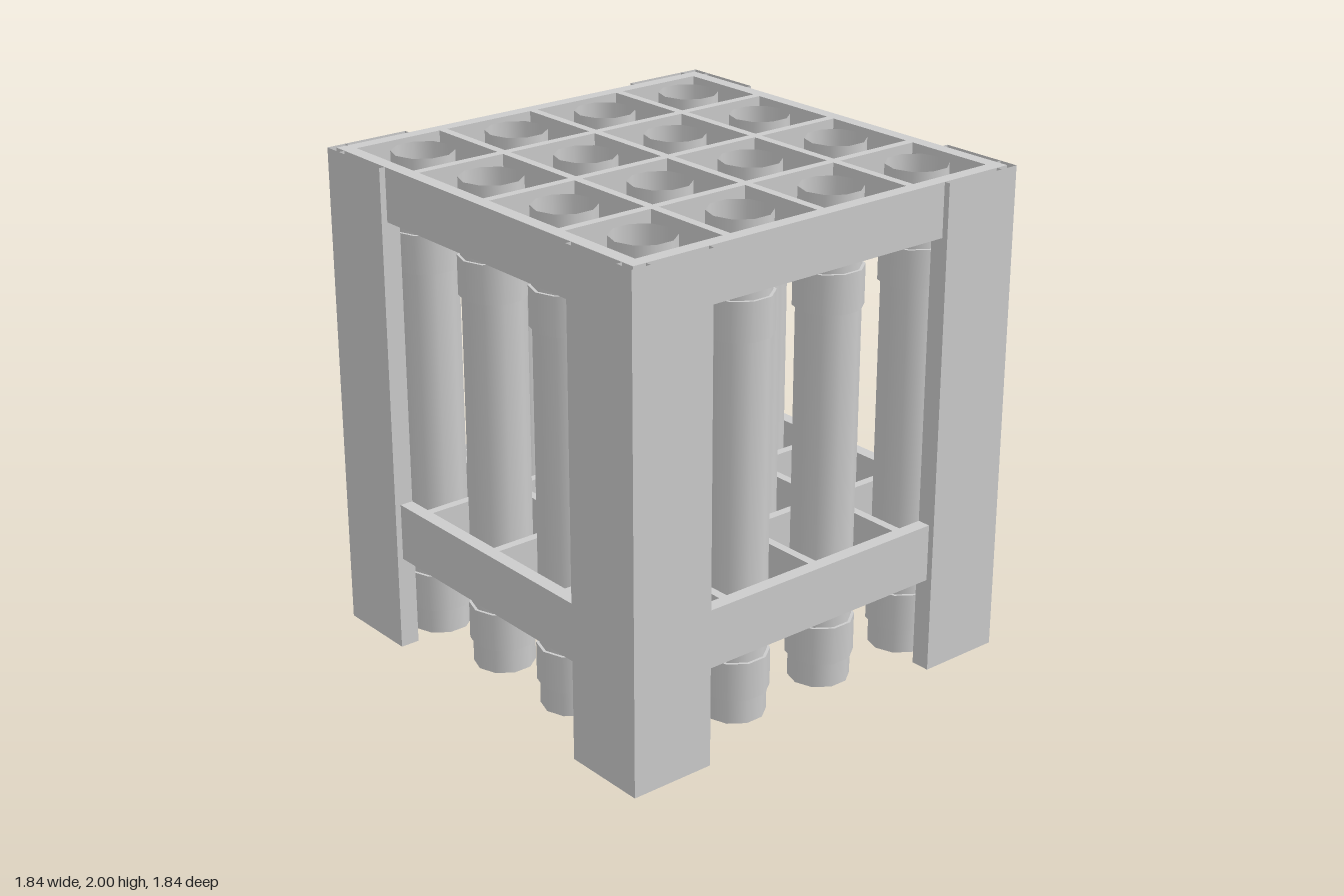
import * as THREE from 'three';

const steel = new THREE.MeshStandardMaterial({ color: 0xcccccc, side: THREE.DoubleSide });
steel.name = 'light grey steel';

function add(parent, name, geometry, x, y, z) {
  const mesh = new THREE.Mesh(geometry, steel);
  mesh.name = name;
  mesh.position.set(x, y, z);
  parent.add(mesh);
  return mesh;
}

// Hollow rectangular section, open at top and bottom
function openBox(w, h, d) {
  const g = new THREE.BoxGeometry(w, h, d);
  const index = Array.from(g.index.array);
  index.splice(12, 12); // drop the top and bottom faces
  g.setIndex(index);
  g.clearGroups();
  return g;
}

export function createModel() {
  const model = new THREE.Group();
  model.name = 'tubeRack';

  // Corner posts: two hollow flanges forming an angle section
  const outer = 0.92, flange = 0.355, thick = 0.08;
  for (const sx of [-1, 1]) {
    for (const sz of [-1, 1]) {
      const post = new THREE.Group();
      post.name = 'cornerPost';
      const mid = outer - flange / 2, edge = outer - thick / 2;
      add(post, 'postFlangeX', openBox(flange, 2, thick), sx * mid, 1, sz * edge);
      add(post, 'postFlangeZ', openBox(thick, 2, flange), sx * edge, 1, sz * mid);
      model.add(post);
    }
  }

  // Upper and lower frames, each with a grid of dividers
  for (const [name, y0, y1] of [['upperFrame', 1.785, 2], ['lowerFrame', 0.385, 0.62]]) {
    const frame = new THREE.Group();
    frame.name = name;
    const h = y1 - y0, y = (y0 + y1) / 2;
    for (const s of [-1, 1]) {
      add(frame, 'railX', new THREE.BoxGeometry(1.79, h, 0.055), 0, y, s * 0.8675);
      add(frame, 'railZ', new THREE.BoxGeometry(0.055, h, 1.68), s * 0.8675, y, 0);
    }
    for (const p of [-0.44, 0, 0.44]) {
      add(frame, 'dividerX', new THREE.BoxGeometry(1.73, h, 0.036), 0, y, p);
      add(frame, 'dividerZ', new THREE.BoxGeometry(0.036, h, 1.73), p, y, 0);
    }
    model.add(frame);
  }

  // Sixteen open tubes, each with two solid collars
  const tube = new THREE.CylinderGeometry(0.123, 0.123, 2, 10, 1, true);
  const collar = new THREE.CylinderGeometry(0.135, 0.135, 0.156, 10);
  for (const x of [-0.66, -0.22, 0.22, 0.66]) {
    for (const z of [-0.66, -0.22, 0.22, 0.66]) {
      add(model, 'tube', tube, x, 1, z);
      add(model, 'upperCollar', collar, x, 1.622, z);
      add(model, 'lowerCollar', collar, x, 0.182, z);
    }
  }
  return model;
}
